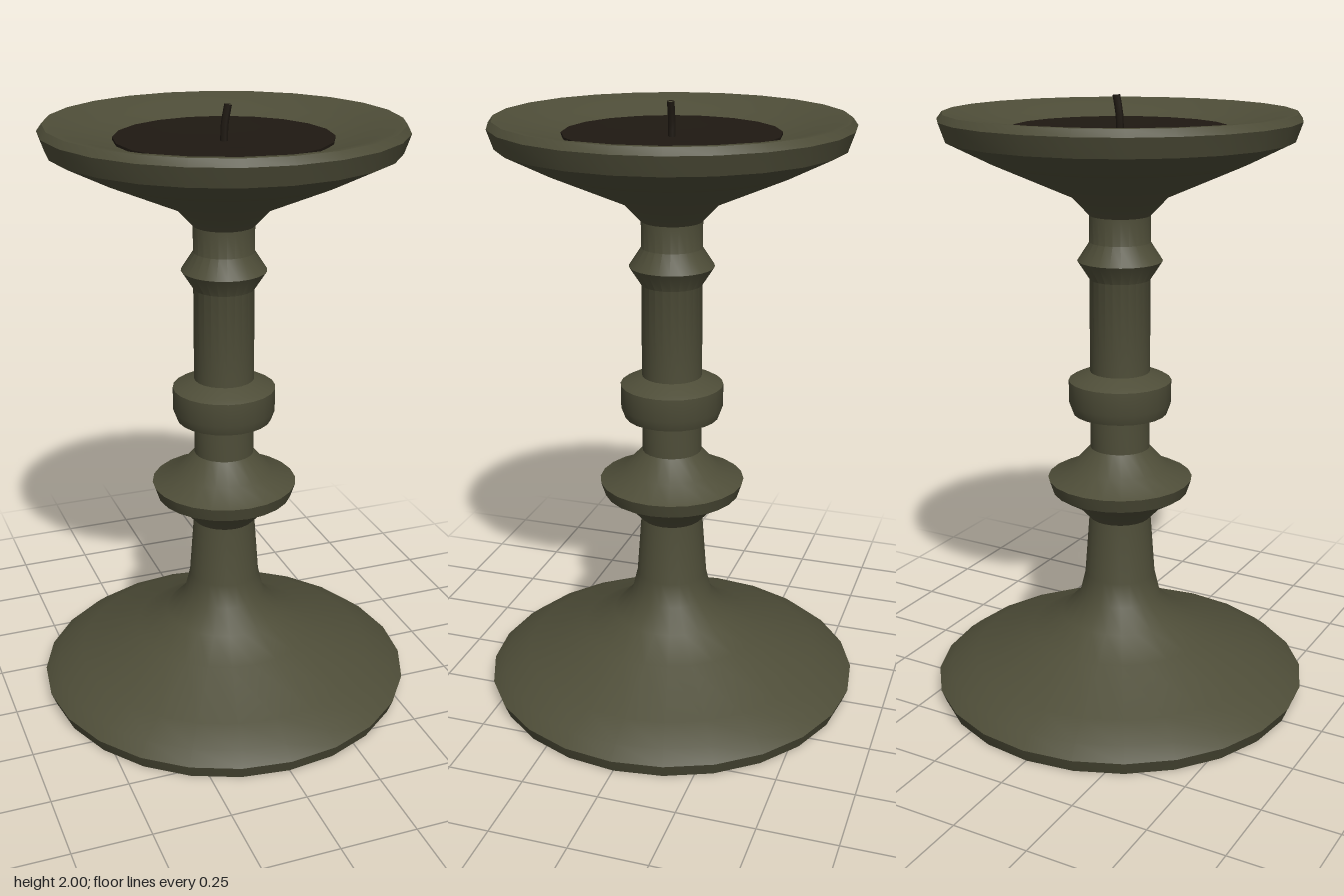
import * as THREE from 'three';
import { toCreasedNormals } from 'three/addons/utils/BufferGeometryUtils.js';

const bronze = new THREE.MeshStandardMaterial({ color: 0x4e4d38 });
const dark = new THREE.MeshStandardMaterial({ color: 0x1f1912 });

// Turned part from [radius, height] pairs, running bottom to top on the outside
function turned(name, profile, material = bronze, sides = 24) {
  const points = profile.map(([r, y]) => new THREE.Vector2(r, y));
  const geometry = toCreasedNormals(new THREE.LatheGeometry(points, sides), 0.6);
  const mesh = new THREE.Mesh(geometry, material);
  mesh.name = name;
  return mesh;
}

export function createModel() {
  const model = new THREE.Group();
  model.name = 'candleHolder';

  // Wide foot flaring up into the lower stem
  model.add(turned('base', [
    [0, 0], [0.61, 0], [0.628, 0.045], [0.585, 0.08], [0.5, 0.12], [0.305, 0.205],
    [0.2, 0.265], [0.137, 0.33], [0.118, 0.41], [0.103, 0.615],
  ]));

  // Stem with its three turned collars
  model.add(turned('stem', [
    [0.103, 0.615], [0.15, 0.665], [0.225, 0.71], [0.24, 0.755], [0.157, 0.795], [0.098, 0.86],
    [0.098, 0.98], [0.155, 0.98], [0.168, 1.015], [0.168, 1.09], [0.15, 1.1], [0.098, 1.12],
    [0.098, 1.425], [0.137, 1.485], [0.098, 1.545], [0.098, 1.63],
  ]));

  // Shallow dish with a bevelled rim and sloping inside
  model.add(turned('dish', [
    [0.098, 1.63], [0.155, 1.69], [0.405, 1.8], [0.545, 1.87], [0.566, 1.93],
    [0.55, 1.952], [0.53, 1.952], [0.43, 1.917], [0.33, 1.895],
  ]));

  // Wax filling the dish, dipping slightly at the wick
  model.add(turned('wax', [[0.34, 1.88], [0.34, 1.905], [0.15, 1.9], [0, 1.89]], dark, 20));

  // Slightly bent wick
  const path = new THREE.CatmullRomCurve3([
    new THREE.Vector3(0, 1.88, 0), new THREE.Vector3(0.002, 1.94, 0), new THREE.Vector3(0.013, 2, 0),
  ]);
  const wick = new THREE.Mesh(new THREE.TubeGeometry(path, 4, 0.012, 6), dark);
  wick.name = 'wick';
  const tip = new THREE.Mesh(new THREE.CircleGeometry(0.012, 6), dark);
  tip.name = 'wickTip';
  tip.rotation.x = -Math.PI / 2;
  tip.position.set(0.013, 2, 0);
  model.add(wick, tip);

  return model;
}
